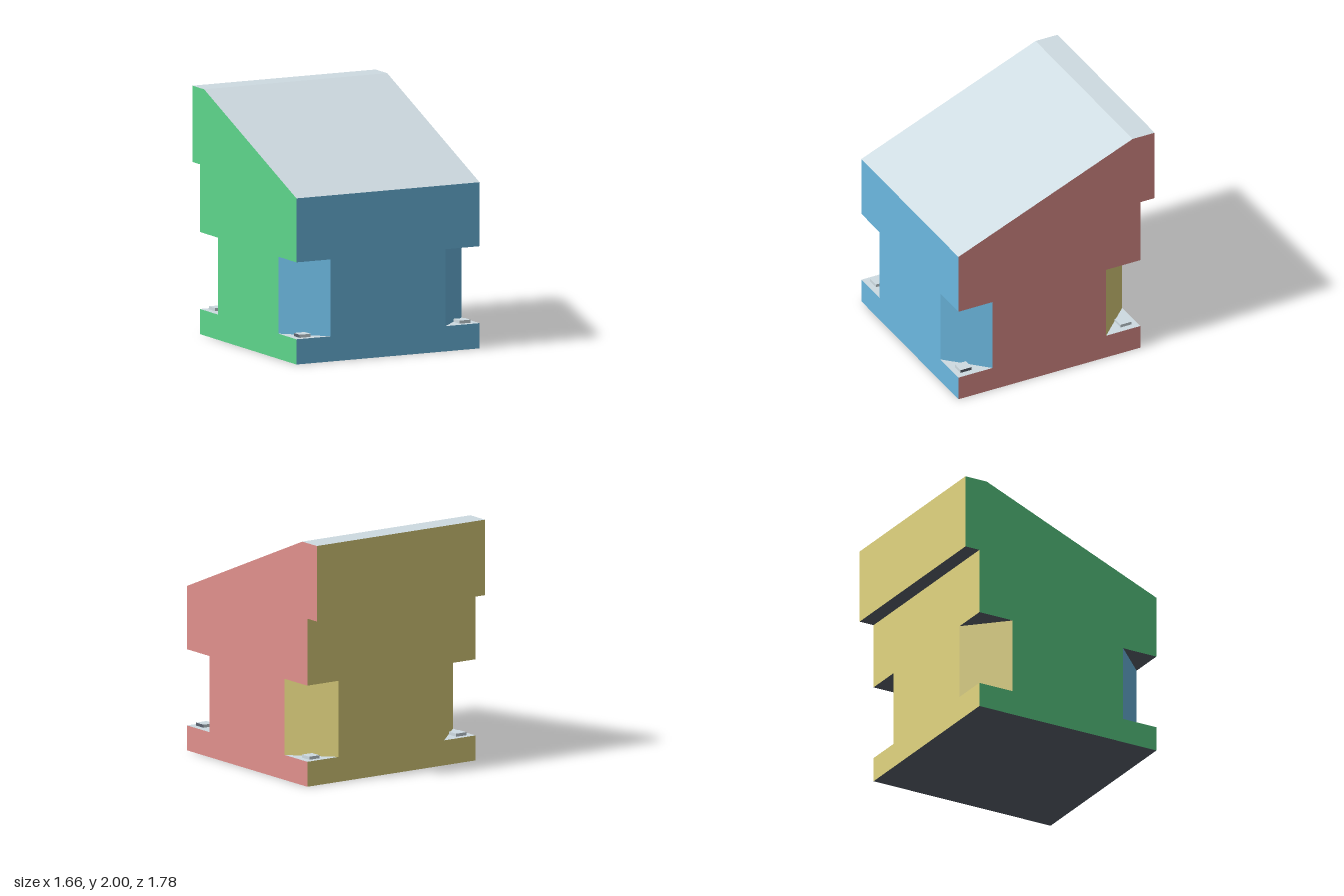
import * as THREE from 'three';

const mat = (name, color) => {
  const m = new THREE.MeshStandardMaterial({ color });
  m.name = name;
  return m;
};

export function createModel() {
  const blue = mat('front blue', 0x6cb9e1);
  const red = mat('left red', 0xe1908d);
  const green = mat('right green', 0x5ed68c);
  const yellow = mat('back yellow', 0xe2d580);
  const grey = mat('top grey', 0xcfdce2);
  const dark = mat('underside dark', 0x5c6470);

  const group = new THREE.Group();
  group.name = 'slopedBlock';

  // Main sizes: half width, front, back, overhang back, notch heights and depth
  const W = 0.83, F = 0.89, B = -0.76, O = -0.89, Y0 = 0.205, Y1 = 0.83, N = 0.31;
  const slopeZ = -0.69, eave = 1.35, lip = 1.38, top = 2;

  // Flat panel: 2D outline placed in space by a rule, wound to face the given normal
  function panel(name, outline, place, normal, material) {
    const pts = outline.map(([a, b]) => new THREE.Vector2(a, b));
    const tris = THREE.ShapeUtils.triangulateShape(pts, []);
    const corners = outline.map(([a, b]) => new THREE.Vector3(...place(a, b)));
    const n = new THREE.Vector3(...normal);
    const verts = [];
    for (const [i, j, k] of tris) {
      const t = new THREE.Triangle(corners[i], corners[j], corners[k]);
      const flip = t.getNormal(new THREE.Vector3()).dot(n) < 0;
      for (const c of flip ? [i, k, j] : [i, j, k]) verts.push(...corners[c].toArray());
    }
    const geo = new THREE.BufferGeometry();
    geo.setAttribute('position', new THREE.Float32BufferAttribute(verts, 3));
    geo.computeVertexNormals();
    const mesh = new THREE.Mesh(geo, material);
    mesh.name = name;
    group.add(mesh);
  }
  const rect = (a0, b0, a1, b1) => [[a0, b0], [a1, b0], [a1, b1], [a0, b1]];

  // Front and back walls, notched at both lower corners
  const wall = (h) => [
    [-W, 0], [W, 0], [W, Y0], [W - N, Y0], [W - N, Y1], [W, Y1], [W, h],
    [-W, h], [-W, Y1], [N - W, Y1], [N - W, Y0], [-W, Y0],
  ];
  panel('frontWall', wall(eave), (x, y) => [x, y, F], [0, 0, 1], blue);
  panel('backWall', wall(lip), (x, y) => [x, y, B], [0, 0, -1], yellow);
  panel('backOverhang', rect(-W, lip, W, top), (x, y) => [x, y, O], [0, 0, -1], yellow);

  // Side walls with the sloped outline
  const side = [
    [F, 0], [F, Y0], [F - N, Y0], [F - N, Y1], [F, Y1], [F, eave], [slopeZ, top], [O, top],
    [O, lip], [B, lip], [B, Y1], [B + N, Y1], [B + N, Y0], [B, Y0], [B, 0],
  ];
  panel('leftWall', side, (z, y) => [W, y, z], [1, 0, 0], red);
  panel('rightWall', side, (z, y) => [-W, y, z], [-1, 0, 0], green);

  // Roof and undersides
  const slope = (top - eave) / (F - slopeZ);
  panel('roofSlope', rect(-W, slopeZ, W, F), (x, z) => [x, eave + (F - z) * slope, z], [0, 1, 0], grey);
  panel('roofRidge', rect(-W, O, W, slopeZ), (x, z) => [x, top, z], [0, 1, 0], grey);
  panel('overhangUnderside', rect(-W, O, W, B), (x, z) => [x, lip, z], [0, -1, 0], dark);
  panel('base', rect(-W, B, W, F), (x, z) => [x, 0, z], [0, -1, 0], dark);

  // Diagonal corner notches, each with a small block on its ledge
  for (const sx of [1, -1]) {
    for (const [sz, edge, paint] of [[1, F, blue], [-1, B, yellow]]) {
      const tri = [[sx * W, edge], [sx * (W - N), edge], [sx * W, edge - sz * N]];
      panel('notchLedge', tri, (x, z) => [x, Y0, z], [0, 1, 0], grey);
      panel('notchCeiling', tri, (x, z) => [x, Y1, z], [0, -1, 0], dark);
      panel('notchWall', rect(0, Y0, N, Y1),
        (t, y) => [sx * (W - N + t), y, edge - sz * t], [sx, 0, sz], paint);

      const sides = [grey, grey, grey, dark, grey, grey];
      if (sz > 0) sides[sx > 0 ? 0 : 1] = dark;
      const block = new THREE.Mesh(new THREE.BoxGeometry(0.1, 0.025, 0.1), sides);
      block.name = 'ledgeBlock';
      block.position.set(sx * 0.725, Y0 + 0.0125, edge - sz * 0.1);
      group.add(block);
    }
  }
  return group;
}
